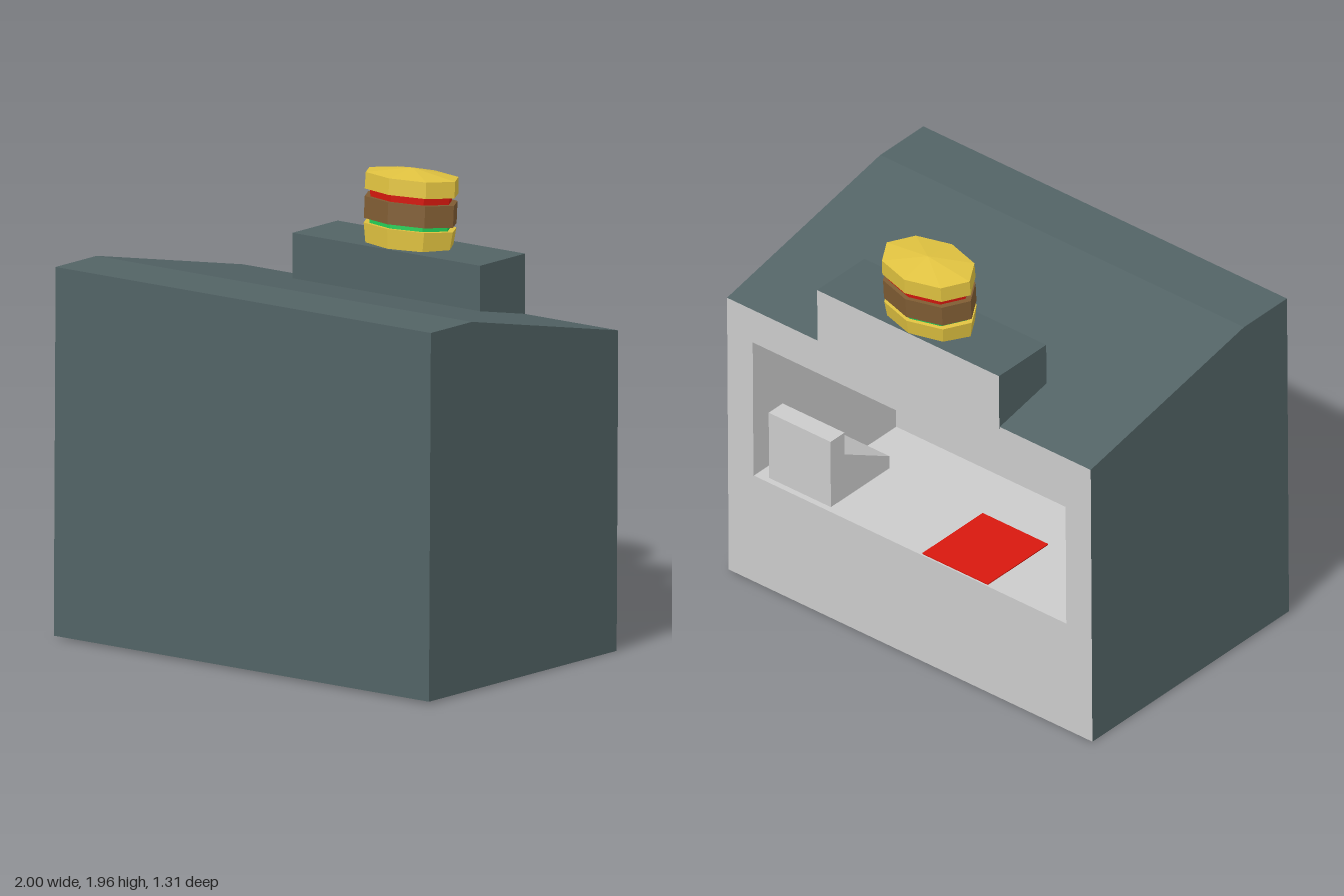
import * as THREE from 'three';

const paint = (color = 0xcccccc) =>
  new THREE.MeshStandardMaterial({ color, flatShading: true });

const slate = paint(0x526365);
const grey = paint();
const bun = paint(0xe0c240);
const patty = paint(0x7f5c33);
const red = paint(0xd8180e);
const green = paint(0x22cc55);

const HALF = 1, FRONT = 0.66, BACK = -0.61, BASE = 0.005;
const ROOM = { x: 0.86, top: 1.215, sill: 0.54, floor: 0.31, far: 0.31 };

function add(parent, name, geometry, material) {
  const mesh = new THREE.Mesh(geometry, material);
  mesh.name = name;
  parent.add(mesh);
  return mesh;
}

// Flat convex face, corners counter-clockwise seen from its front
function face(...corners) {
  const geometry = new THREE.BufferGeometry().setFromPoints(corners.map((c) => new THREE.Vector3(...c)));
  const index = [];
  for (let i = 1; i < corners.length - 1; i++) index.push(0, i, i + 1);
  geometry.setIndex(index);
  geometry.computeVertexNormals();
  return geometry;
}

function box(x0, x1, y0, y1, z0, z1) {
  return new THREE.BoxGeometry(x1 - x0, y1 - y0, z1 - z0)
    .translate((x0 + x1) / 2, (y0 + y1) / 2, (z0 + z1) / 2);
}

// Outer walls and roof, following the side profile [z, y]
function buildShell(parent) {
  const profile = [[FRONT, BASE], [FRONT, 1.587], [0.382, 1.587], [BACK, 1.38], [BACK, BASE]];
  const names = ['frontWall', 'roofLedge', 'roofSlope'];
  names.forEach((name, i) => {
    const [za, ya] = profile[i], [zb, yb] = profile[i + 1];
    add(parent, name, face([-HALF, ya, za], [HALF, ya, za], [HALF, yb, zb], [-HALF, yb, zb]), slate);
  });
  const side = (x) => profile.map(([z, y]) => [x, y, z]);
  add(parent, 'leftWall', face(...side(HALF).reverse()), slate);
  add(parent, 'rightWall', face(...side(-HALF)), slate);
  parent.getObjectByName('leftWall').material = slate.clone();
  parent.getObjectByName('leftWall').material.side = THREE.DoubleSide;
  parent.getObjectByName('rightWall').material = parent.getObjectByName('leftWall').material;
  add(parent, 'underside', face([-HALF, BASE, BACK], [HALF, BASE, BACK], [HALF, BASE, FRONT], [-HALF, BASE, FRONT]), grey);

  // Back wall with the serving window
  const wall = new THREE.Shape([[-HALF, BASE], [HALF, BASE], [HALF, 1.38], [-HALF, 1.38]]
    .map((p) => new THREE.Vector2(...p)));
  wall.holes.push(new THREE.Path([[-ROOM.x, ROOM.sill], [-ROOM.x, ROOM.top], [ROOM.x, ROOM.top], [ROOM.x, ROOM.sill]]
    .map((p) => new THREE.Vector2(...p))));
  add(parent, 'backWall', new THREE.ShapeGeometry(wall).rotateY(Math.PI).translate(0, 0, BACK), grey);
}

// Inside faces of the room behind the window
function buildRoom(parent) {
  const { x, top, floor, far } = ROOM;
  const room = new THREE.Group();
  room.name = 'room';
  parent.add(room);
  add(room, 'ceiling', face([-x, top, BACK], [x, top, BACK], [x, top, far], [-x, top, far]), grey);
  add(room, 'floor', face([-x, floor, far], [x, floor, far], [x, floor, BACK], [-x, floor, BACK]), grey);
  add(room, 'farWall', face([x, floor, far], [-x, floor, far], [-x, top, far], [x, top, far]), grey);
  add(room, 'leftInnerWall', face([x, floor, BACK], [x, floor, far], [x, top, far], [x, top, BACK]), grey);
  add(room, 'rightInnerWall', face([-x, floor, far], [-x, floor, BACK], [-x, top, BACK], [-x, top, far]), grey);
  add(room, 'counter', box(-x, x, floor, ROOM.sill, BACK + 0.002, -0.16), grey);
  add(room, 'tray', box(-0.42, -0.06, ROOM.sill, ROOM.sill + 0.005, BACK + 0.01, -0.21), red);

  // Cash register: upright display and a sloping keyboard
  const register = new THREE.Shape([[0, 0], [0.38, 0], [0.38, 0.06], [0.09, 0.22], [0.09, 0.33], [0, 0.33]]
    .map((p) => new THREE.Vector2(...p)));
  const geometry = new THREE.ExtrudeGeometry(register, { depth: 0.34, bevelEnabled: false });
  geometry.rotateY(-Math.PI / 2).translate(0.8, ROOM.sill, BACK + 0.03);
  add(room, 'cashRegister', geometry, grey);
}

// Stacked eight-sided burger: [name, bottom, height, lower radius, upper radius, material]
function buildBurger(parent) {
  const burger = new THREE.Group();
  burger.name = 'burger';
  const layers = [
    ['bottomBun', -0.005, 0.085, 0.215, 0.228, bun],
    ['lettuce', 0.08, 0.02, 0.2, 0.2, green],
    ['patty', 0.1, 0.093, 0.228, 0.228, patty],
    ['tomato', 0.193, 0.032, 0.2, 0.205, red],
    ['topBun', 0.225, 0.07, 0.23, 0.228, bun],
    ['bunCrown', 0.295, 0.03, 0.228, 0, bun],
  ];
  for (const [name, y, height, lower, upper, material] of layers) {
    const geometry = new THREE.CylinderGeometry(upper, lower, height, 8);
    geometry.scale(1, 1, 0.68).translate(0, y + height / 2, 0);
    add(burger, name, geometry, material);
  }
  burger.position.set(0, 1.635, -0.463);
  burger.rotation.x = -0.06;
  parent.add(burger);
}

export function createModel() {
  const model = new THREE.Group();
  model.name = 'burgerKiosk';
  buildShell(model);
  buildRoom(model);

  // Sign block on the roof, bare at the back
  const sides = [slate, slate, slate, slate, slate, grey];
  add(model, 'signBlock', box(-0.5, 0.5, 1.37, 1.638, BACK - 0.003, -0.308), sides);

  buildBurger(model);
  model.rotation.x = -0.008;
  return model;
}
